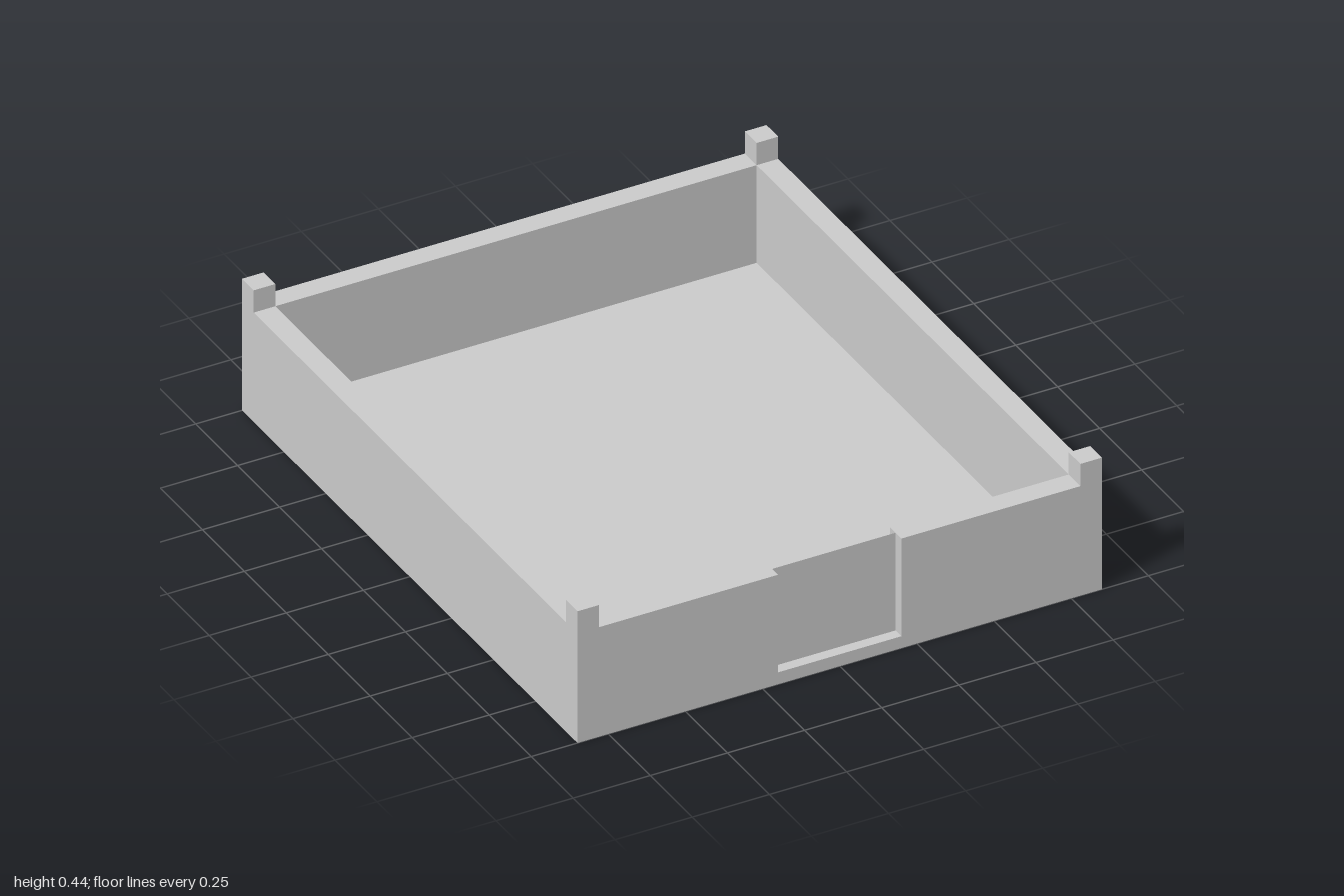
import * as THREE from 'three';

const W = 0.85, D = 1;            // half width, half depth
const T = 0.07;                   // wall thickness
const FLOOR = 0.04, WALL = 0.37, POST = 0.445;
const GAP = 0.2;                  // half width of the gateway

const solid = new THREE.MeshStandardMaterial({ color: 0xcccccc, flatShading: true });
const sheet = new THREE.MeshStandardMaterial({ color: 0xcccccc, flatShading: true, side: THREE.DoubleSide });

// Box given by its lower and upper corners
function block(name, [x0, y0, z0], [x1, y1, z1]) {
  const mesh = new THREE.Mesh(new THREE.BoxGeometry(x1 - x0, y1 - y0, z1 - z0), solid);
  mesh.position.set((x0 + x1) / 2, (y0 + y1) / 2, (z0 + z1) / 2);
  mesh.name = name;
  return mesh;
}

// Thin upright or flat sheet
function panel(name, w, h, position, rx = 0, ry = 0) {
  const mesh = new THREE.Mesh(new THREE.PlaneGeometry(w, h), sheet);
  mesh.position.set(...position);
  mesh.rotation.set(rx, ry, 0);
  mesh.name = name;
  return mesh;
}

export function createModel() {
  const model = new THREE.Group();
  model.name = 'walledEnclosure';

  // Floor sheet, raised above an open underside
  model.add(panel('floor', 2 * W, 2 * D, [0, FLOOR, 0], -Math.PI / 2));

  // Thin skirt around the open underside
  for (const s of [-1, 1]) {
    const turn = s > 0 ? 0 : Math.PI;
    model.add(panel('skirtEnd', 2 * W, FLOOR, [0, FLOOR / 2, s * D], 0, turn));
    model.add(panel('skirtSide', 2 * D, FLOOR, [s * W, FLOOR / 2, 0], 0, s * Math.PI / 2));
  }

  // Back wall and side walls
  model.add(block('backWall', [-W, FLOOR, -D], [W, WALL, -D + T]));
  model.add(block('leftWall', [W - T, FLOOR, -D + T], [W, WALL, D - T]));
  model.add(block('rightWall', [-W, FLOOR, -D + T], [-W + T, WALL, D - T]));

  // Front wall in two halves, with a thin gate set midway through the gap
  model.add(block('frontWallLeft', [GAP, FLOOR, D - T], [W, WALL, D]));
  model.add(block('frontWallRight', [-W, FLOOR, D - T], [-GAP, WALL, D]));
  model.add(panel('gate', 2 * GAP, WALL - FLOOR, [0, (WALL + FLOOR) / 2, D - T / 2]));

  // Corner posts
  for (const sx of [-1, 1]) {
    for (const sz of [-1, 1]) {
      const x = sx * (W - T / 2), z = sz * (D - T / 2);
      model.add(block('cornerPost', [x - T / 2, WALL, z - T / 2], [x + T / 2, POST, z + T / 2]));
    }
  }
  return model;
}
